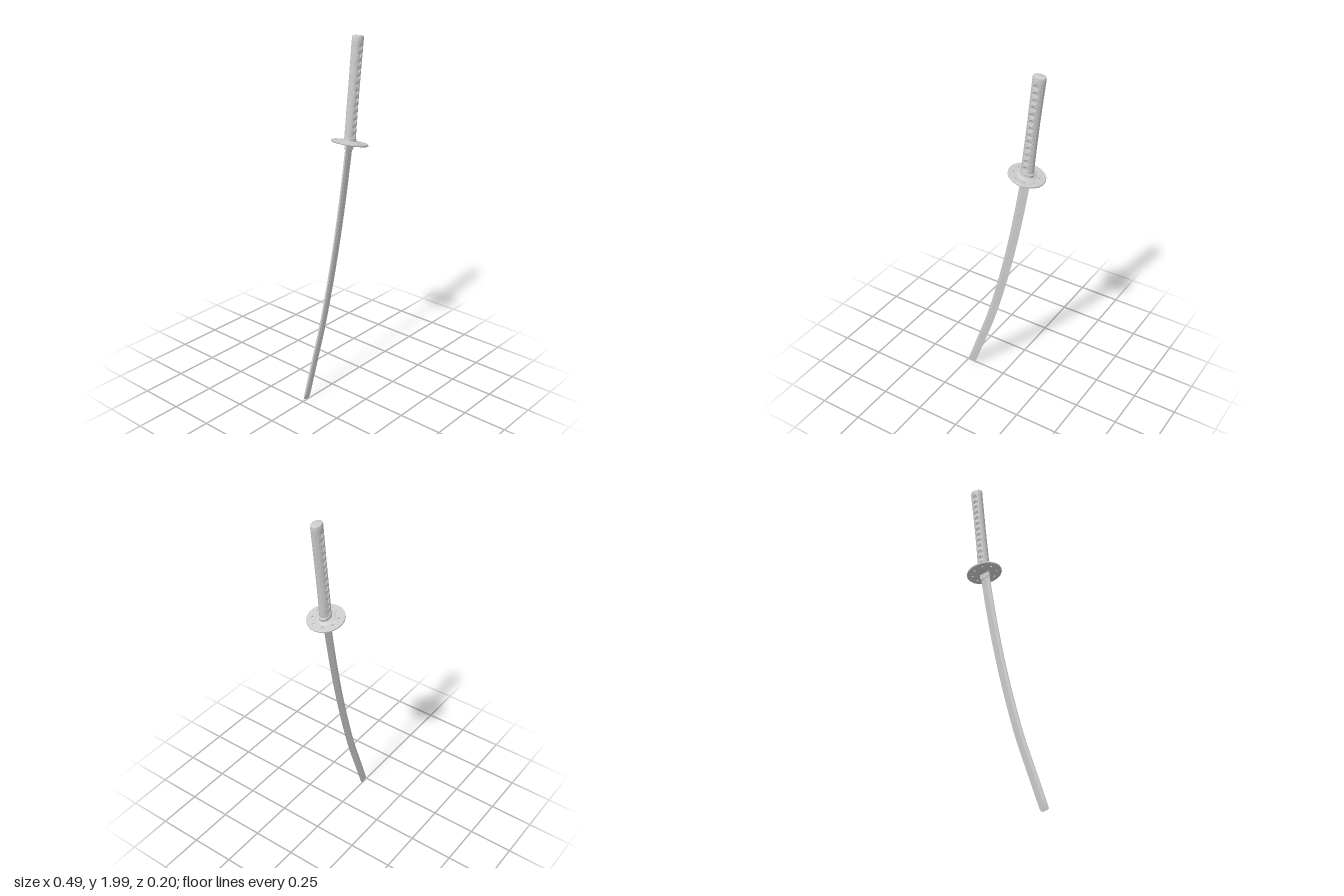
import * as THREE from 'three';
import { toCreasedNormals } from 'three/addons/utils/BufferGeometryUtils.js';

const grey = new THREE.MeshStandardMaterial({ color: 0xcccccc });
const curve = (pts) => new THREE.CatmullRomCurve3(pts.map(([x, y]) => new THREE.Vector3(x, y, 0)));

// Skin a stack of closed rings of [across, depth] offsets set square to a path, capped at both ends.
function loft(path, rings, crease) {
  const pos = [], index = [], n = rings[0].pts.length;
  const put = (t, a, z) => {
    const p = path.getPointAt(t), d = path.getTangentAt(t);
    pos.push(p.x + d.y * a, p.y - d.x * a, z);
  };
  rings.forEach(({ t, pts }) => pts.forEach(([a, z]) => put(t, a, z)));
  for (let i = 0; i < rings.length - 1; i++) {
    for (let j = 0; j < n; j++) {
      const k = (j + 1) % n, a = i * n + j, b = i * n + k;
      index.push(a, a + n, b, a + n, b + n, b);
    }
  }
  [rings[0], rings[rings.length - 1]].forEach(({ t, pts }, end) => {
    const c = pos.length / 3, base = end * (rings.length - 1) * n;
    put(t, pts.reduce((s, p) => s + p[0], 0) / n, 0);
    for (let j = 0; j < n; j++) {
      const a = base + j, b = base + (j + 1) % n;
      index.push(c, end ? b : a, end ? a : b);
    }
  });
  const geo = new THREE.BufferGeometry();
  geo.setAttribute('position', new THREE.Float32BufferAttribute(pos, 3));
  geo.setIndex(index);
  return toCreasedNormals(geo, crease);
}

function part(name, geo, parent) {
  const mesh = new THREE.Mesh(geo, grey);
  mesh.name = name;
  parent.add(mesh);
  return mesh;
}

// Curved blade: roofed spine on -x, ridge line, cutting edge on +x, chisel tip
function bladeGeometry() {
  const path = curve([[-0.222, 0.006], [-0.155, 0.2], [-0.086, 0.4], [-0.029, 0.6],
    [0.021, 0.8], [0.065, 1.0], [0.103, 1.2], [0.137, 1.4], [0.141, 1.425]]);
  const section = (t, edge, thick) => {
    const w = 0.025 + 0.004 * t, h = 0.0065 * thick;
    return { t, pts: [[w * edge, 0], [-0.3 * w, h], [-0.88 * w, 0.7 * h],
      [-w, 0], [-0.88 * w, -0.7 * h], [-0.3 * w, -h]] };
  };
  const rings = [section(0, 0.6, 0.1), section(0.008, 0.9, 0.5), section(0.018, 1, 0.85)];
  for (let i = 1; i <= 28; i++) rings.push(section(0.018 + 0.982 * i / 28, 1, 1));
  return loft(path, rings, 0.25);
}

// Oval grip with a column of sunken diamonds on each face, as left by a crossed wrap
function gripGeometry() {
  const path = curve([[0.143, 1.42], [0.156, 1.55], [0.178, 1.75], [0.205, 1.988]]);
  const around = 32, diamonds = 13, steps = diamonds * 6, from = 0.06, to = 0.94;
  const ring = (t, scale, wrapped) => {
    const waist = 1 - 0.08 * Math.sin(Math.PI * t);
    const v = ((t - from) / (to - from)) * diamonds % 1;
    const pts = [];
    for (let j = 0; j < around; j++) {
      const a = j / around * Math.PI * 2;
      const across = Math.cos(a) * 0.036 * waist * scale;
      let z = Math.sin(a) * 0.028 * scale;
      const inside = 1 - Math.abs(across) / 0.017 - Math.abs(v - 0.5) / 0.5;
      if (wrapped && inside > 0) z -= Math.sign(z) * Math.min(0.007, inside * 0.016);
      pts.push([across, z]);
    }
    return { t, pts };
  };
  const rings = [ring(0, 1, false)];
  for (let i = 0; i <= steps; i++) rings.push(ring(from + (to - from) * i / steps, 1, true));
  rings.push(ring(0.985, 1, false), ring(0.996, 0.94, false), ring(1, 0.8, false));
  return loft(path, rings, 0.7);
}

// Round guard plate pierced by eight diamonds
function guardGeometry() {
  const ringPoints = (n, r) => Array.from({ length: n }, (_, i) => {
    const a = i / n * Math.PI * 2;
    return new THREE.Vector2(Math.cos(a) * r, Math.sin(a) * r);
  });
  const plate = new THREE.Shape(ringPoints(20, 0.098));
  for (let i = 0; i < 8; i++) {
    const a = (i + 0.5) * Math.PI / 4;
    const hole = [[0.059, 0], [0.069, 0.011], [0.08, 0], [0.069, -0.011]].map(([r, s]) =>
      new THREE.Vector2(r * Math.cos(a) - s * Math.sin(a), r * Math.sin(a) + s * Math.cos(a)));
    plate.holes.push(new THREE.Path(hole));
  }
  const geo = new THREE.ExtrudeGeometry(plate, { depth: 0.006, bevelEnabled: true,
    bevelThickness: 0.003, bevelSize: 0.003, bevelSegments: 1 });
  geo.translate(0, 0, -0.003);
  return toCreasedNormals(geo.rotateX(-Math.PI / 2), 0.5);
}

export function createModel() {
  const model = new THREE.Group();
  model.name = 'curvedSword';
  part('blade', bladeGeometry(), model);
  part('grip', gripGeometry(), model);

  const guard = new THREE.Group();
  guard.name = 'guard';
  guard.position.set(0.143, 1.424, 0);
  guard.rotation.z = -0.23;
  model.add(guard);
  part('guardPlate', guardGeometry(), guard);

  // Raised hub and collar around the grip, small collar around the blade
  const lathe = (pts) => new THREE.LatheGeometry(pts.map(([r, y]) => new THREE.Vector2(r, y)), 24);
  part('hub', toCreasedNormals(lathe([[0, 0], [0.055, 0.005], [0.05, 0.009], [0.042, 0.011], [0, 0.012]]), 0.6), guard);
  const collar = part('gripCollar', toCreasedNormals(lathe([[0.039, 0], [0.039, 0.026], [0.034, 0.029], [0, 0.029]]), 0.6), guard);
  collar.scale.z = 0.78;
  const bladeCollar = part('bladeCollar', new THREE.BoxGeometry(0.058, 0.035, 0.016), guard);
  bladeCollar.position.set(-0.001, -0.02, 0);
  return model;
}
